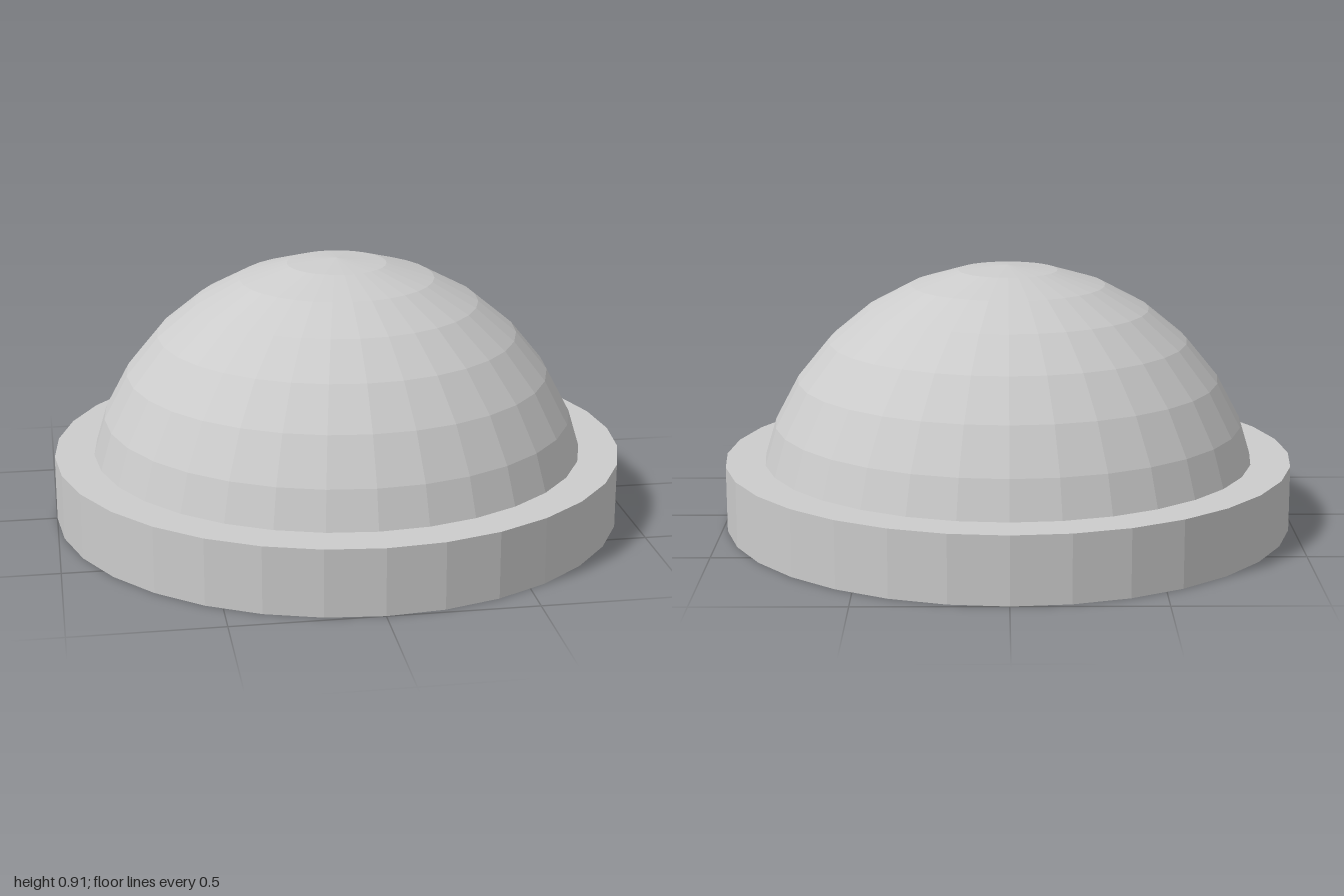
import * as THREE from 'three';

const SIDES = 32;

export function createModel() {
  const group = new THREE.Group();
  const material = new THREE.MeshStandardMaterial({ color: 0xcccccc, flatShading: true });

  const addPart = (name, geometry, y) => {
    const mesh = new THREE.Mesh(geometry, material);
    mesh.name = name;
    mesh.position.y = y;
    group.add(mesh);
  };

  // Flat round base
  const baseHeight = 0.23;
  addPart('base', new THREE.CylinderGeometry(1, 1, baseHeight, SIDES), baseHeight / 2);

  // Faceted half sphere, its rim sunk into the base
  const domeRadius = 0.89;
  addPart('dome', new THREE.SphereGeometry(domeRadius, SIDES, 8, 0, Math.PI * 2, 0, Math.PI / 2), 0.02);

  return group;
}
